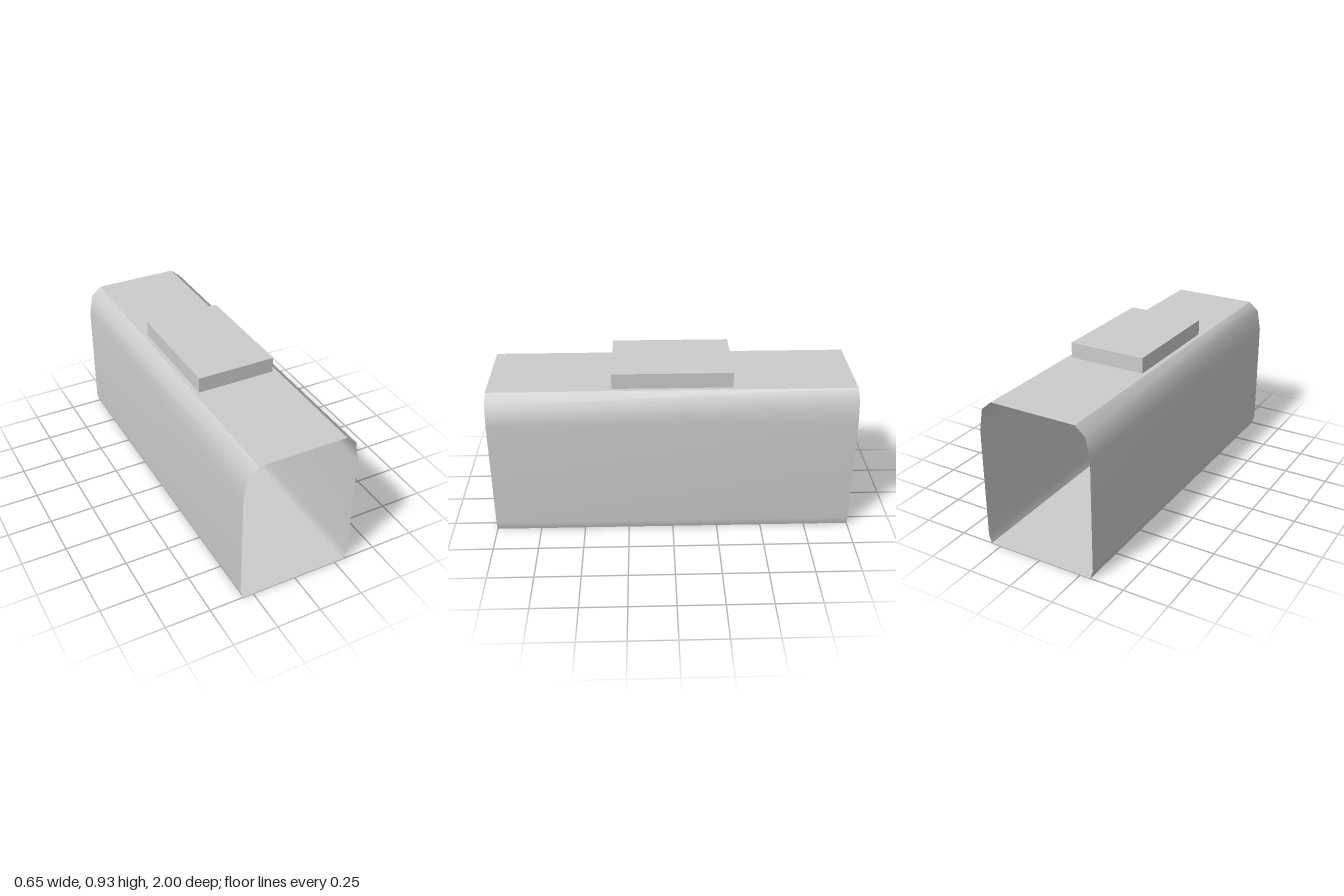
import * as THREE from 'three';

// Open skin swept along z through a run of cross-section points (counter-clockwise seen from the front)
function strip(points, halfLength) {
  const positions = [], index = [];
  points.forEach(([x, y], i) => {
    positions.push(x, y, halfLength, x, y, -halfLength);
    if (i > 0) {
      const a = 2 * i - 2;
      index.push(a, a + 1, a + 3, a, a + 3, a + 2);
    }
  });
  const geometry = new THREE.BufferGeometry();
  geometry.setAttribute('position', new THREE.Float32BufferAttribute(positions, 3));
  geometry.setIndex(index);
  geometry.computeVertexNormals();
  return geometry;
}

export function createModel() {
  const model = new THREE.Group();
  model.name = 'openHousing';

  const grey = new THREE.MeshStandardMaterial({ color: 0xcccccc, side: THREE.DoubleSide });
  grey.name = 'light grey';

  const add = (name, geometry) => {
    const mesh = new THREE.Mesh(geometry, grey);
    mesh.name = name;
    model.add(mesh);
    return mesh;
  };

  // Side wall profile from floor edge to roof edge, rounded at the shoulder
  const wall = [[0.31, 0], [0.325, 0.05], [0.325, 0.67], [0.303, 0.79], [0.245, 0.84]];
  const mirrored = wall.map(([x, y]) => [-x, y]).reverse();
  const first = wall[0], last = wall[wall.length - 1];

  // Thin shell, open at both ends, with crisp roof and floor edges
  add('leftWall', strip(wall, 1));
  add('rightWall', strip(mirrored, 1));
  add('roof', strip([last, [-last[0], last[1]]], 1));
  add('floor', strip([[-first[0], first[1]], first], 1));

  // Raised box on the roof
  add('roofBox', new THREE.BoxGeometry(0.44, 0.086, 0.655)).position.y = 0.883;

  return model;
}
